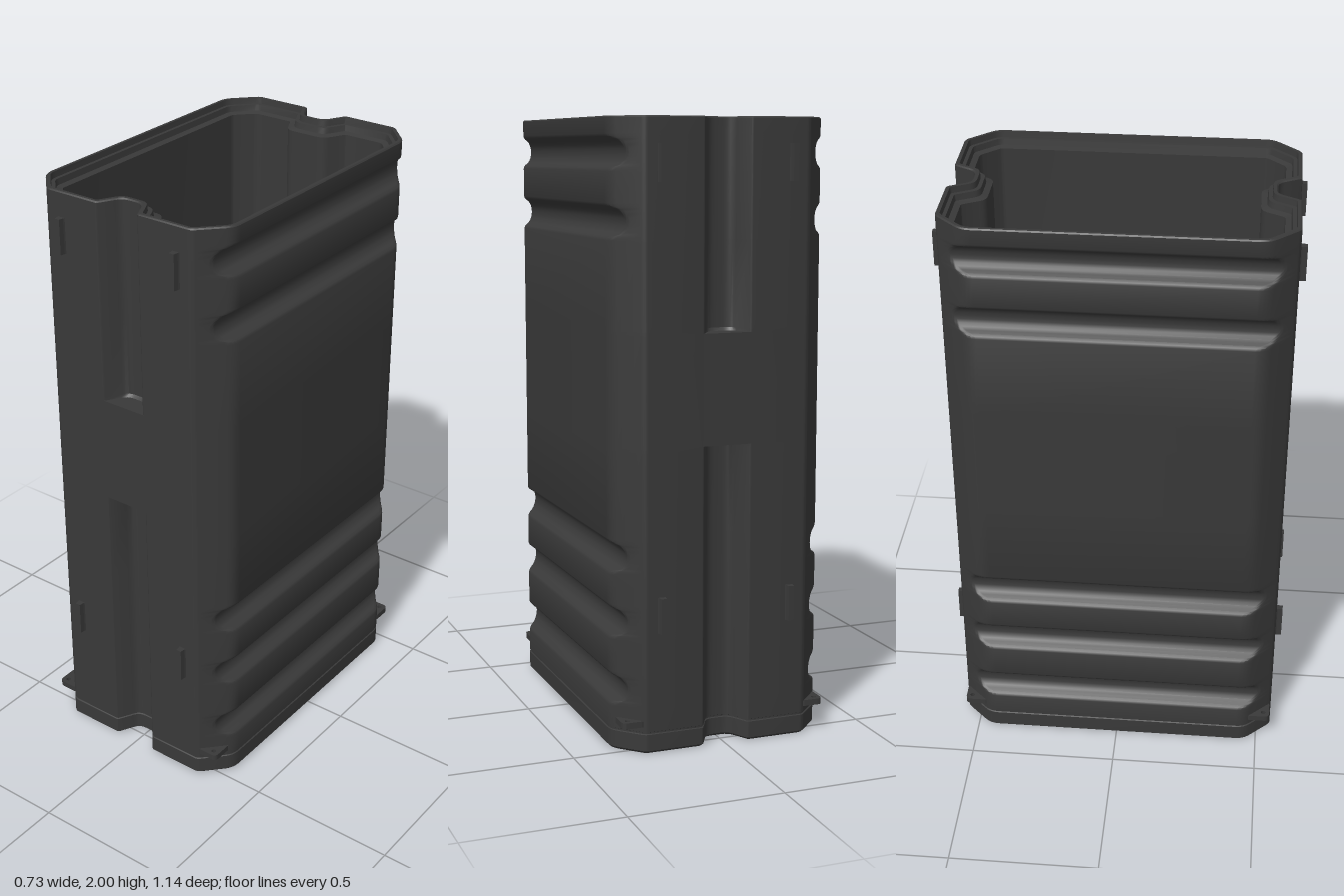
import * as THREE from 'three';
import { toCreasedNormals } from 'three/addons/utils/BufferGeometryUtils.js';

const material = new THREE.MeshStandardMaterial({ color: 0x393939 });
const HALF_X = 0.363, HALF_Z = 0.55, SLOPE = 0.947, WALL = 0.05, GROOVE = 0.046;

// Softens the corners [x, z, radius] of a closed ring
function rounded(corners) {
  const n = corners.length, steps = 4;
  return corners.flatMap(([x, z, r], i) => {
    const p = new THREE.Vector2(x, z);
    const towards = ([a, b]) => new THREE.Vector2(a, b).sub(p).setLength(r).add(p);
    const curve = new THREE.QuadraticBezierCurve(
      towards(corners[(i + n - 1) % n]), p, towards(corners[(i + 1) % n]));
    return curve.getPoints(steps).map((q) => [q.x, q.y]);
  });
}

// Chamfered outline with a notch front and back.
// inset: distance inwards, cut: side groove depth, notch: 0 filled, 1 full.
function outline(inset = 0, cut = 0, notch = 1) {
  const x = HALF_X - Math.max(inset, cut), z = HALF_Z - inset;
  const k = HALF_X + SLOPE * 0.457 - 1.377 * inset;
  const zc = (k - x) / SLOPE, xc = k - SLOPE * z;
  const mouth = 0.078 + 0.7 * inset, base = 0.038 + 0.7 * inset;
  const deep = THREE.MathUtils.lerp(z, 0.475 - inset, notch);
  const soft = 0.028 - 0.4 * Math.max(inset, cut);
  const half = [
    [x, zc, soft], [x, -zc, soft], [xc, -z, 0.012], [mouth, -z, 0.006], [base, -deep, 0.024],
    [-base, -deep, 0.024], [-mouth, -z, 0.006], [-xc, -z, 0.012],
  ];
  return rounded([...half, ...half.map(([a, b, r]) => [-a, -b, r])]);
}

// Skin between stacked rings: rows of { y, ring }
function loft(rows) {
  const pos = [];
  const tri = new THREE.Triangle();
  const add = (a, b, c) => {
    tri.set(a, b, c);
    if (tri.getArea() > 1e-9) for (const p of [a, b, c]) pos.push(p.x, p.y, p.z);
  };
  const points = rows.map(({ y, ring }) => ring.map(([x, z]) => new THREE.Vector3(x, y, z)));
  for (let r = 0; r < points.length - 1; r++) {
    const lo = points[r], hi = points[r + 1];
    for (let i = 0; i < lo.length; i++) {
      const j = (i + 1) % lo.length;
      add(lo[i], lo[j], hi[j]);
      add(lo[i], hi[j], hi[i]);
    }
  }
  const geo = new THREE.BufferGeometry();
  geo.setAttribute('position', new THREE.Float32BufferAttribute(pos, 3));
  return toCreasedNormals(geo, 0.5);
}

const toPoints = (ring) => ring.map(([x, z]) => new THREE.Vector2(x, z));

// Flat horizontal panel, facing down by default
function panel(ring, y, holes = [], up = false) {
  const shape = new THREE.Shape(toPoints(ring));
  shape.holes = holes.map((h) => new THREE.Path(toPoints(h)));
  return new THREE.ShapeGeometry(shape).rotateX(up ? -Math.PI / 2 : Math.PI / 2).translate(0, y, 0);
}

// Corner ear with a round hole, for the corner on side sx, sz
function earGeometry(sx, sz) {
  const ear = new THREE.Shape();
  ear.moveTo(sx * 0.34, sz * 0.45);
  ear.lineTo(sx * 0.35, sz * 0.475);
  ear.lineTo(sx * 0.35, sz * 0.527);
  ear.quadraticCurveTo(sx * 0.35, sz * 0.545, sx * 0.332, sz * 0.545);
  ear.lineTo(sx * 0.285, sz * 0.545);
  ear.lineTo(sx * 0.26, sz * 0.535);
  ear.closePath();
  // The hole runs against the outline so that its wall faces inwards
  ear.holes.push(new THREE.Path().absarc(sx * 0.328, sz * 0.524, 0.008, 0, Math.PI * 2, sx * sz > 0));
  return new THREE.ExtrudeGeometry(ear, { depth: 0.02, bevelEnabled: false, curveSegments: 8 })
    .rotateX(Math.PI / 2).translate(0, 0.108, 0);
}

export function createModel() {
  const model = new THREE.Group();
  const add = (name, geo, parent = model) => {
    const mesh = new THREE.Mesh(geo, material);
    mesh.name = name;
    parent.add(mesh);
    return mesh;
  };

  // Shell: foot rim, seam, outer wall with grooves, stepped lip, inner wall
  const rows = [];
  const row = (y, inset, cut, notch) => rows.push({ y, ring: outline(inset, cut, notch) });
  row(0.015, 0.02);
  row(0, 0.018);
  row(0, 0.008);
  row(0.008, 0);
  row(0.062, 0);
  row(0.064, 0.004);
  row(0.069, 0.004);
  row(0.071, 0);
  const groove = (yc) => {
    row(yc - 0.057, 0, 0);
    row(yc - 0.049, 0, 0.004);
    for (let k = -5; k <= 5; k++) {
      const a = (k / 6) * Math.PI / 2;
      row(yc + 0.045 * Math.sin(a), 0, GROOVE * Math.cos(a));
    }
    row(yc + 0.049, 0, 0.004);
    row(yc + 0.057, 0, 0);
  };
  [0.2, 0.42, 0.63].forEach(groove);
  row(0.97, 0, 0, 1);
  row(0.98, 0, 0, 0.9);
  row(0.98, 0, 0, 0);
  row(1.335, 0, 0, 0);
  row(1.335, 0, 0, 0.9);
  row(1.345, 0, 0, 1);
  [1.68, 1.89].forEach(groove);
  row(1.996, 0);
  row(2, 0.004);
  row(2, 0.014);
  row(1.98, 0.016);
  row(1.98, 0.028);
  row(1.96, 0.031);
  row(1.955, WALL);
  row(0.15, WALL);
  add('shell', loft(rows));
  add('innerFloor', panel(outline(WALL), 0.15, [], true));

  // Underside: four tapered wells and two pockets in the cross rib
  const quarter = [[0.025, 0.03], [0.1, 0.03], [0.13, 0.065], [0.23, 0.065], [0.26, 0.03], [0.325, 0.03],
    [0.325, 0.445], [0.262, 0.515], [0.125, 0.515], [0.025, 0.4]];
  const wells = [];
  for (const sx of [1, -1]) {
    for (const sz of [1, -1]) {
      const ring = quarter.map(([x, z]) => [sx * x, sz * z]);
      wells.push({ ring: sx * sz > 0 ? ring : ring.reverse(), top: 0.12, cx: sx * 0.175, cz: sz * 0.27 });
    }
    const ring = Array.from({ length: 8 }, (_, i) => {
      const a = (i + 0.5) * Math.PI / 4;
      return [sx * 0.18 + 0.05 * Math.cos(a), 0.05 * Math.sin(a)];
    });
    wells.push({ ring, top: 0.06, cx: sx * 0.18, cz: 0 });
  }
  const underside = new THREE.Group();
  underside.name = 'underside';
  model.add(underside);
  add('basePlate', panel(outline(0.02), 0.015, wells.map((w) => w.ring)), underside);
  for (const { ring, top, cx, cz } of wells) {
    const small = ring.map(([x, z]) => [cx + (x - cx) * 0.74, cz + (z - cz) * 0.84]);
    add('wellWall', loft([{ y: 0.015, ring }, { y: top, ring: small }]), underside);
    add('wellCeiling', panel(small, top), underside);
  }

  // Tapered vertical clips on the front and back
  const clip = new THREE.Shape(toPoints([[-0.016, 0], [0.016, 0], [0.011, 0.012], [0.009, 0.028], [-0.009, 0.028], [-0.011, 0.012]]));
  const clipGeo = new THREE.ExtrudeGeometry(clip, { depth: 0.116, bevelEnabled: false })
    .rotateX(Math.PI / 2).translate(0, 0.058, 0);

  for (const sx of [1, -1]) {
    for (const sz of [1, -1]) {
      add('cornerEar', earGeometry(sx, sz));
      for (const y of [0.45, 1.86]) {
        const mesh = add('clip', clipGeo);
        mesh.position.set(sx * 0.22, y, sz * 0.543);
        mesh.rotation.y = sz > 0 ? 0 : Math.PI;
      }
    }
  }
  return model;
}
